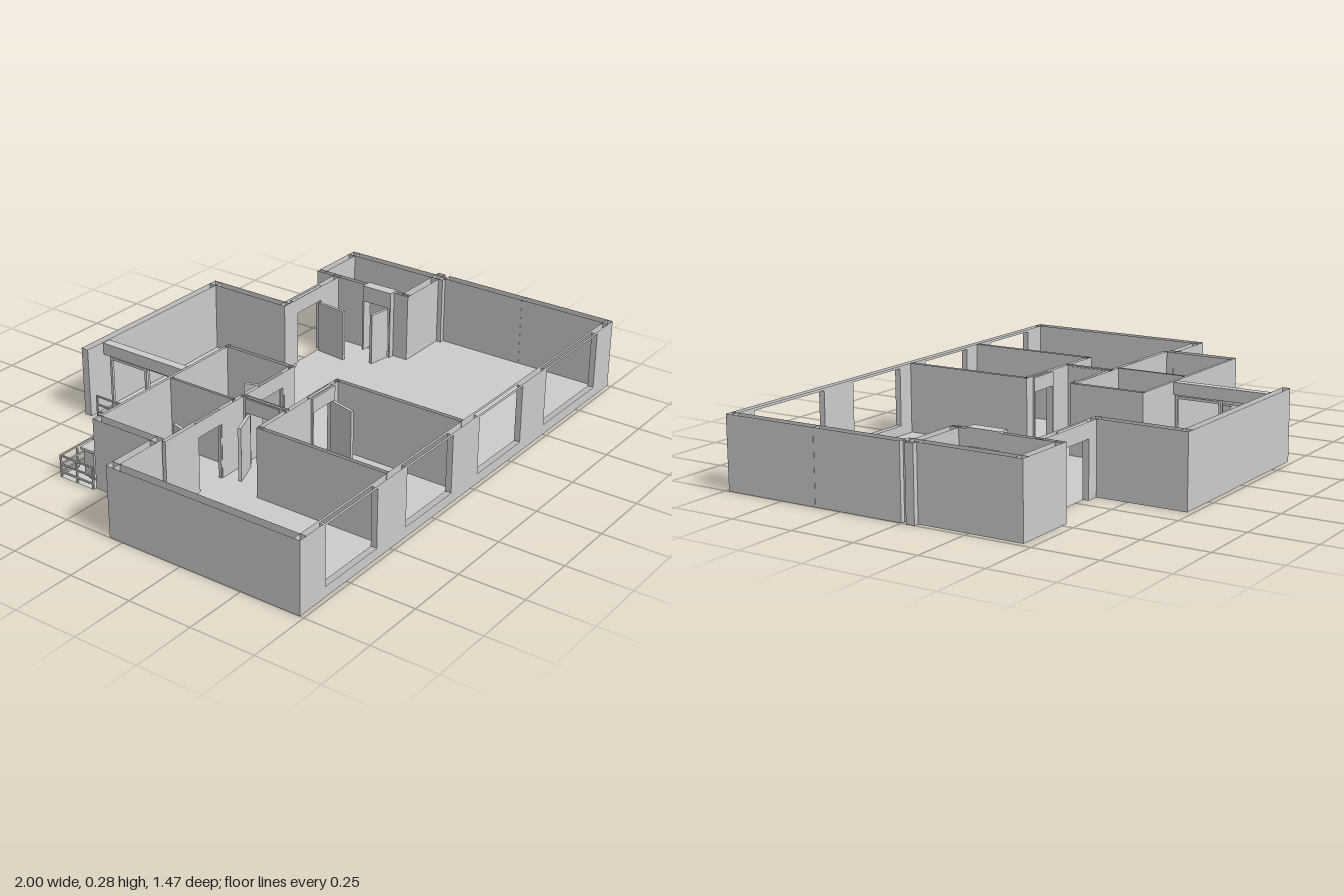
import * as THREE from 'three';

const H = 0.275, DOOR = 0.215;
const grey = new THREE.MeshStandardMaterial({ color: 0xcccccc, side: THREE.DoubleSide, flatShading: true });

export function createModel() {
  const root = new THREE.Group();
  root.name = 'apartment';

  const add = (name, geometry, parent = root) => {
    const mesh = new THREE.Mesh(geometry, grey);
    mesh.name = name;
    parent.add(mesh);
    return mesh;
  };
  const group = (name) => {
    const g = new THREE.Group();
    g.name = name;
    root.add(g);
    return g;
  };
  // box given by its min and max along each axis
  const box = (name, x0, x1, y0, y1, z0, z1, parent) => {
    const g = new THREE.BoxGeometry(x1 - x0, y1 - y0, z1 - z0);
    g.translate((x0 + x1) / 2, (y0 + y1) / 2, (z0 + z1) / 2);
    return add(name, g, parent);
  };

  // hollow wall, open at top and bottom, running along x or z at position c
  const walls = group('walls');
  const wall = (name, axis, c, t, from, to, { doors = [], windows = [] } = {}) => {
    const s = new THREE.Shape();
    s.moveTo(from, 0);
    for (const [a, b] of doors) {
      s.lineTo(a, 0); s.lineTo(a, DOOR); s.lineTo(b, DOOR); s.lineTo(b, 0);
    }
    s.lineTo(to, 0); s.lineTo(to, H); s.lineTo(from, H); s.closePath();
    for (const [a, b] of windows) {
      const h = new THREE.Path();
      h.moveTo(a, 0.04); h.lineTo(a, 0.265); h.lineTo(b, 0.265); h.lineTo(b, 0.04); h.closePath();
      s.holes.push(h);
    }
    const ext = new THREE.ExtrudeGeometry(s, { depth: t, bevelEnabled: false });
    const p = ext.attributes.position, n = ext.attributes.normal, kept = [];
    // keep only the upright faces
    for (let i = 0; i < p.count; i += 3) {
      if (Math.abs(n.getY(i)) > 0.5) continue;
      for (let k = i; k < i + 3; k++) kept.push(p.getX(k), p.getY(k), p.getZ(k));
    }
    const g = new THREE.BufferGeometry();
    g.setAttribute('position', new THREE.Float32BufferAttribute(kept, 3));
    g.computeVertexNormals();
    if (axis === 'x') g.translate(0, 0, c - t / 2);
    else { g.rotateY(-Math.PI / 2); g.translate(c + t / 2, 0, 0); }
    add(name, g, walls);
  };

  // outer walls
  wall('frontWall', 'x', 0.723, 0.024, -1, 1,
    { windows: [[-0.865, -0.58], [-0.41, -0.13], [0.04, 0.33], [0.5, 0.88]] });
  wall('rightOuterWall', 'z', -0.983, 0.034, -0.055, 0.735);
  wall('leftFrontWall', 'z', 0.983, 0.034, 0.355, 0.735);
  wall('leftMiddleWall', 'z', 0.982, 0.034, 0, 0.355);
  wall('sideRoomOuterWall', 'z', 0.963, 0.034, -0.46, 0);
  wall('sideRoomBackWall', 'x', -0.445, 0.03, 0.725, 0.98);
  wall('sideRoomFrontWall', 'x', -0.037, 0.034, 0.735, 1);
  wall('sideRoomDoorWall', 'z', 0.735, 0.02, -0.46, -0.02, { doors: [[-0.215, -0.09]] });
  wall('entryWall', 'x', -0.367, 0.025, 0.365, 0.74, { doors: [[0.45, 0.605]] });
  wall('livingSideWall', 'z', 0.383, 0.034, -0.73, -0.355);
  wall('livingBackWall', 'x', -0.715, 0.03, -0.385, 0.4);
  wall('bathBackWall', 'x', -0.31, 0.01, -0.78, -0.035);
  wall('bathOuterWall', 'z', -0.763, 0.034, -0.315, -0.025);
  wall('bedroomBackWall', 'x', -0.04, 0.03, -1, -0.745);

  // inner walls
  wall('bathDivider', 'z', -0.375, 0.01, -0.305, -0.015);
  wall('bathSideWall', 'z', -0.046, 0.016, -0.315, -0.005);
  wall('bathFrontWall', 'x', -0.013, 0.015, -0.76, -0.04, { doors: [[-0.59, -0.46], [-0.235, -0.1]] });
  wall('bedroomPartition', 'z', -0.49, 0.016, 0.177, 0.713);
  wall('livingPartition', 'z', -0.036, 0.016, 0.177, 0.713);
  wall('corridorWall', 'x', 0.185, 0.016, -0.49, -0.036, { doors: [[-0.205, -0.07]] });
  wall('corridorEndWall', 'z', -0.33, 0.016, -0.015, 0.185, { doors: [[0.01, 0.15]] });

  // floors, given as x, z corners
  const floors = group('floors');
  const floor = (name, corners) => {
    const g = new THREE.ShapeGeometry(new THREE.Shape(corners.map(([x, z]) => new THREE.Vector2(x, -z))));
    g.rotateX(-Math.PI / 2);
    g.translate(0, 0.001, 0);
    add(name, g, floors);
  };
  floor('mainFloor', [
    [-0.965, 0.72], [-0.49, 0.72], [-0.49, 0.731], [-0.035, 0.731], [-0.035, 0.71], [0.967, 0.71],
    [0.967, -0.02], [0.725, -0.02], [0.725, -0.35], [0.62, -0.36], [0.43, -0.36], [0.43, -0.345],
    [0.365, -0.32], [0.365, -0.7], [-0.27, -0.7], [-0.27, -0.315], [-0.038, -0.315], [-0.038, -0.02],
    [-0.055, -0.02], [-0.055, -0.305], [-0.37, -0.305], [-0.37, -0.02], [-0.38, -0.02],
    [-0.38, -0.305], [-0.745, -0.305], [-0.745, -0.025], [-0.965, -0.025]]);
  floor('sideRoomFloor', [[0.745, -0.055], [0.945, -0.055], [0.945, -0.43], [0.745, -0.43]]);
  floor('balconyFloor', [
    [-0.795, -0.315], [-0.27, -0.315], [-0.27, -0.68], [-0.375, -0.68], [-0.375, -0.475], [-0.795, -0.475]]);

  // doors: lintel, side jambs and an open leaf from hinge to free edge
  const door = (name, axis, c, t, a, b, hinge, edge, top = 0.27) => {
    const g = group(name);
    const part = (n, u0, u1, y0, y1) => axis === 'x'
      ? box(n, u0, u1, y0, y1, c - t / 2, c + t / 2, g)
      : box(n, c - t / 2, c + t / 2, y0, y1, u0, u1, g);
    part('lintel', a, b, DOOR, top);
    part('jambA', a, a + 0.006, 0, DOOR);
    part('jambB', b - 0.006, b, 0, DOOR);
    const dx = edge[0] - hinge[0], dz = edge[1] - hinge[1];
    const leaf = add('doorLeaf', new THREE.BoxGeometry(Math.hypot(dx, dz), DOOR - 0.005, 0.012), g);
    leaf.position.set((hinge[0] + edge[0]) / 2, DOOR / 2, (hinge[1] + edge[1]) / 2);
    leaf.rotation.y = -Math.atan2(dz, dx);
  };
  door('leftBathDoor', 'x', -0.013, 0.012, -0.235, -0.1, [-0.105, -0.02], [-0.155, -0.145]);
  door('rightBathDoor', 'x', -0.013, 0.012, -0.59, -0.46, [-0.585, -0.02], [-0.55, -0.145]);
  door('middleRoomDoor', 'x', 0.185, 0.03, -0.205, -0.07, [-0.077, 0.19], [-0.105, 0.3]);
  door('bedroomDoor', 'z', -0.33, 0.024, 0.005, 0.155, [-0.34, 0.02], [-0.445, 0.06]);
  door('entryDoor', 'x', -0.365, 0.02, 0.43, 0.62, [0.59, -0.35], [0.576, -0.22]);
  door('sideRoomDoor', 'z', 0.723, 0.045, -0.218, -0.085, [0.7, -0.1], [0.61, -0.115], 0.28);

  // sliding balcony door: head, tracks and two open frames
  const slider = group('slidingDoor');
  box('head', -0.3, -0.265, 0.225, 0.272, -0.7, -0.315, slider);
  for (const x of [-0.315, -0.295, -0.275]) box('track', x - 0.003, x + 0.003, 0, 0.01, -0.68, -0.32, slider);
  [[-0.29, -0.67, -0.5], [-0.275, -0.505, -0.325]].forEach(([x, z0, z1]) => {
    for (const z of [z0, z1]) box('stile', x - 0.005, x + 0.005, 0, 0.225, z - 0.005, z + 0.005, slider);
    for (const y of [0.01, 0.215]) box('rail', x - 0.005, x + 0.005, y - 0.005, y + 0.005, z0, z1, slider);
  });

  // balcony railing along three sides
  const railing = group('balconyRailing');
  const run = (x0, z0, x1, z1) => {
    const r = 0.003, count = Math.max(2, Math.round(Math.hypot(x1 - x0, z1 - z0) / 0.09));
    for (const y of [0.02, 0.05, 0.085]) {
      box('railingBar', Math.min(x0, x1) - r, Math.max(x0, x1) + r, y - r, y + r,
        Math.min(z0, z1) - r, Math.max(z0, z1) + r, railing);
    }
    for (let i = 0; i <= count; i++) {
      const x = x0 + (x1 - x0) * i / count, z = z0 + (z1 - z0) * i / count;
      box('railingPost', x - r, x + r, 0, 0.085, z - r, z + r, railing);
    }
  };
  run(-0.37, -0.68, -0.37, -0.47);
  run(-0.37, -0.47, -0.79, -0.47);
  run(-0.79, -0.47, -0.79, -0.32);

  // outdoor cooling unit with a round fan grille facing the back
  const unit = group('coolingUnit');
  box('housing', -0.76, -0.6, 0.02, 0.125, -0.385, -0.34, unit);
  box('cover', -0.77, -0.59, 0.125, 0.135, -0.392, -0.335, unit);
  for (const x of [-0.74, -0.63]) box('foot', x, x + 0.015, 0, 0.02, -0.385, -0.34, unit);
  for (const r of [0.015, 0.028, 0.04]) {
    add('fanRing', new THREE.TorusGeometry(r, 0.003, 6, 24), unit).position.set(-0.665, 0.072, -0.388);
  }
  for (let i = 0; i < 3; i++) {
    const bar = add('fanBlade', new THREE.BoxGeometry(0.08, 0.006, 0.005), unit);
    bar.position.set(-0.665, 0.072, -0.388);
    bar.rotation.z = i * Math.PI / 3;
  }
  return root;
}
